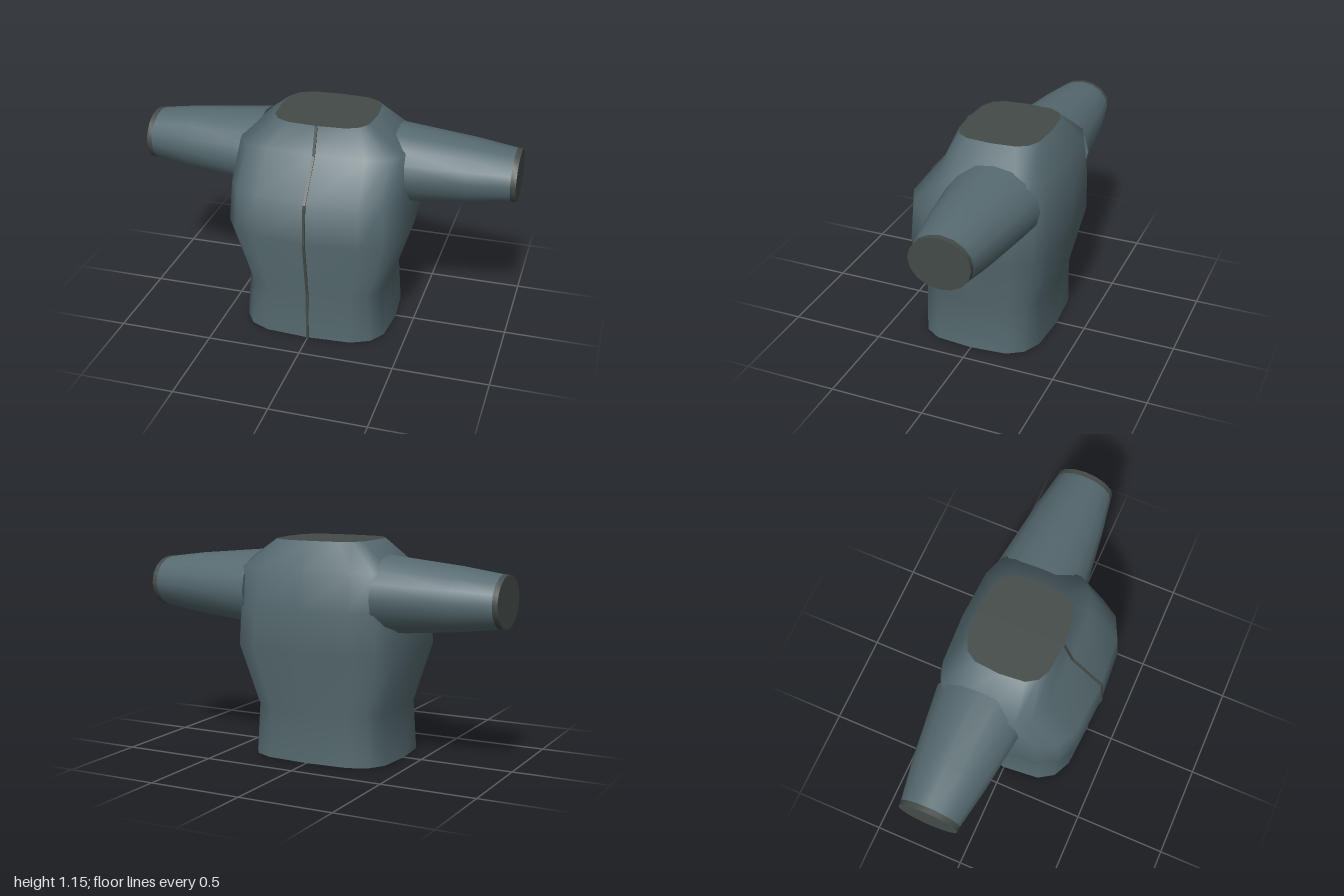
import * as THREE from 'three';

const SIDES = 16;
const cloth = new THREE.MeshStandardMaterial({ color: 0x566a70 });
const dark = new THREE.MeshStandardMaterial({ color: 0x434b48 });

// Skin through rounded cross-sections; each level is [height, halfWidth, zFront, zBack].
// A power below 1 squares the section, 1 gives an ellipse.
function loft(levels, power) {
  const pos = [], index = [];
  const soft = (v) => Math.sign(v) * Math.pow(Math.abs(v) < 1e-6 ? 0 : Math.abs(v), power);
  for (const [y, w, zf, zb] of levels) {
    for (let j = 0; j < SIDES; j++) {
      const a = (j / SIDES) * Math.PI * 2;
      pos.push(w * soft(Math.sin(a)), y, (zf + zb) / 2 + ((zf - zb) / 2) * soft(Math.cos(a)));
    }
  }
  for (let i = 0; i < levels.length - 1; i++) {
    for (let j = 0; j < SIDES; j++) {
      const k = (j + 1) % SIDES;
      const a = i * SIDES + j, b = i * SIDES + k, c = b + SIDES, d = a + SIDES;
      index.push(a, b, c, a, c, d);
    }
  }
  const g = new THREE.BufferGeometry();
  g.setAttribute('position', new THREE.Float32BufferAttribute(pos, 3));
  g.setIndex(index);
  g.computeVertexNormals();
  return g;
}

// Flat end on one level, facing up or down
function cap([y, w, zf, zb], up, power) {
  const mid = (zf + zb) / 2;
  const rim = [y, w, zf, zb], centre = [y, 0, mid, mid];
  return loft(up ? [rim, centre] : [centre, rim], power);
}

function add(parent, name, geometry, material) {
  const mesh = new THREE.Mesh(geometry, material);
  mesh.name = name;
  parent.add(mesh);
  return mesh;
}

export function createModel() {
  const model = new THREE.Group();
  model.name = 'jacket';

  // Torso, hem to neck
  const body = [
    [0, 0.4, 0.347, -0.34],
    [0.27, 0.38, 0.347, -0.34],
    [0.59, 0.483, 0.402, -0.412],
    [0.81, 0.465, 0.387, -0.412],
    [1.005, 0.455, 0.218, -0.38],
    [1.15, 0.262, 0.17, -0.288],
  ];
  const square = 0.57;
  add(model, 'torso', loft(body, square), cloth);
  add(model, 'hemBase', cap(body[0], false, square), cloth);
  add(model, 'neckOpening', cap(body[5], true, square), dark);

  // Front closure: thin raised strip following the chest profile
  const strip = new THREE.Shape();
  body.forEach(([y, , z], i) => (i ? strip.lineTo(z + 0.006, y) : strip.moveTo(z + 0.006, y)));
  [...body].reverse().forEach(([y, , z]) => strip.lineTo(z - 0.01, y));
  const stripGeo = new THREE.ExtrudeGeometry(strip, { depth: 0.014, bevelEnabled: false });
  stripGeo.translate(0, 0, -0.007).rotateY(-Math.PI / 2);
  add(model, 'frontClosure', stripGeo, dark);

  // Sleeves, lofted upright then laid outwards
  const arm = [
    [0.365, 0.203, 0.248, -0.248],
    [0.76, 0.165, 0.197, -0.197],
    [0.972, 0.136, 0.16, -0.16],
  ];
  const cuff = [[0.97, 0.136, 0.16, -0.16], [1, 0.135, 0.159, -0.159]];
  for (const [side, s] of [['left', 1], ['right', -1]]) {
    const sleeve = new THREE.Group();
    sleeve.name = side + 'Sleeve';
    add(sleeve, side + 'Arm', loft(arm, 1), cloth);
    add(sleeve, side + 'ArmBase', cap(arm[0], false, 1), cloth);
    add(sleeve, side + 'Cuff', loft(cuff, 1), dark);
    add(sleeve, side + 'CuffEnd', cap(cuff[1], true, 1), dark);
    sleeve.rotation.z = (-s * Math.PI) / 2;
    sleeve.position.set(0, 0.88, -0.118);
    model.add(sleeve);
  }
  return model;
}
